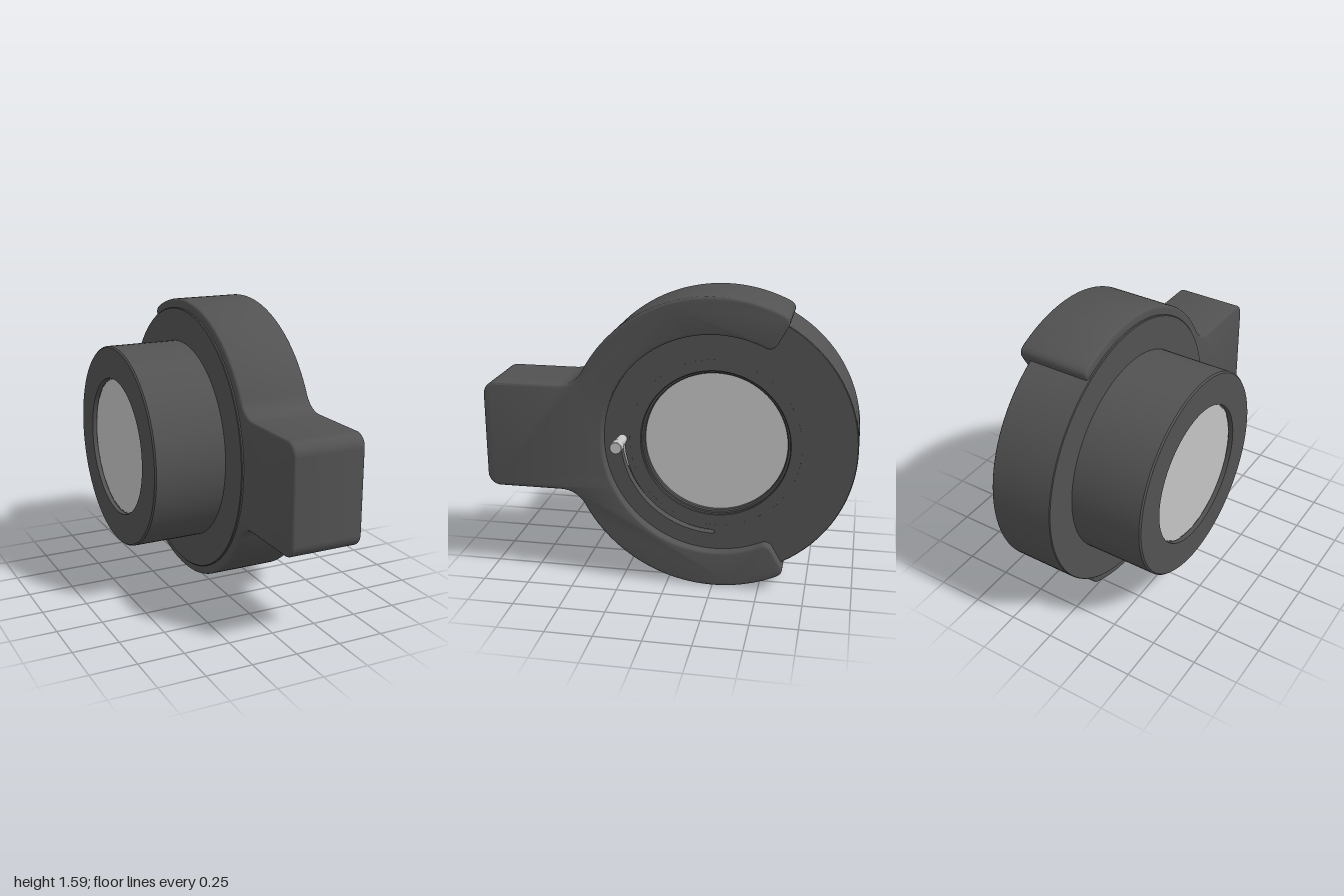
import * as THREE from 'three';
import { toCreasedNormals } from 'three/addons/utils/BufferGeometryUtils.js';

const PI = Math.PI;
const rad = THREE.MathUtils.degToRad;
const polar = (r, a) => [r * Math.cos(a), r * Math.sin(a)];

// Extrude a shape drawn in the (-z, y) plane along +x, from x0 to x1
function extrudeX(shape, x0, x1, bevel = 0, curveSegments = 48) {
  const geo = new THREE.ExtrudeGeometry(shape, {
    depth: x1 - x0 - 2 * bevel, curveSegments,
    bevelEnabled: bevel > 0, bevelSize: bevel, bevelThickness: bevel,
    bevelOffset: -bevel, bevelSegments: 3,
  });
  geo.translate(0, 0, x0 + bevel);
  geo.rotateY(PI / 2);
  return toCreasedNormals(geo, 0.6);
}

// Revolve a profile of [radius, x] points about the x axis
function latheX(profile, segments = 96) {
  const geo = new THREE.LatheGeometry(profile.map(p => new THREE.Vector2(...p)), segments);
  geo.rotateZ(-PI / 2);
  return toCreasedNormals(geo, 0.5);
}

// Closed band between two radii and two angles
function arcBand(PathType, r0, r1, a0, a1) {
  const p = new PathType();
  p.absarc(0, 0, r1, a0, a1, false);
  p.absarc(0, 0, r0, a1, a0, true);
  p.closePath();
  return p;
}

// C-shaped clamp with a filleted rectangular handle
function clampShape() {
  const R = 0.797, r = 0.6, half = 0.295, fillet = 0.15, corner = 0.07, end = 1.25, round = 0.05;
  const a = rad(60.5), dOut = round / R, dIn = round / r;
  const fy = half + fillet, fx = Math.sqrt((R + fillet) ** 2 - fy ** 2);
  const phi = Math.atan2(fy, -fx);
  const s = new THREE.Shape();
  s.absarc(0, 0, R, a + dOut, phi, false);
  s.absarc(-fx, fy, fillet, phi - PI, -PI / 2, true);
  s.absarc(-end + corner, half - corner, corner, PI / 2, PI, false);
  s.absarc(-end + corner, corner - half, corner, PI, 1.5 * PI, false);
  s.absarc(-fx, -fy, fillet, PI / 2, PI - phi, true);
  s.absarc(0, 0, R, 2 * PI - phi, 2 * PI - a - dOut, false);
  s.quadraticCurveTo(...polar(R, -a), ...polar(R - round, -a));
  s.lineTo(...polar(r + round, -a));
  s.quadraticCurveTo(...polar(r, -a), ...polar(r, -a - dIn));
  s.absarc(0, 0, r, 2 * PI - a - dIn, a + dIn, true);
  s.quadraticCurveTo(...polar(r, a), ...polar(r + round, a));
  s.lineTo(...polar(R - round, a));
  s.quadraticCurveTo(...polar(R, a), ...polar(R, a + dOut));
  return s;
}

export function createModel() {
  const model = new THREE.Group();
  model.name = 'irisDiaphragmMount';
  const body = new THREE.MeshStandardMaterial({ color: 0x525252 });
  body.name = 'dark grey';
  const light = new THREE.MeshStandardMaterial({ color: 0xc4c4c4 });
  light.name = 'light grey';

  const add = (name, geo, mat) => {
    const mesh = new THREE.Mesh(geo, mat);
    mesh.name = name;
    mesh.position.set(0, 0.798, -0.25);
    model.add(mesh);
    return mesh;
  };

  // Disc and rear tube, with a shallow channel for the slotted ring
  add('housing', latheX([
    [0.375, -0.435], [0.385, -0.435], [0.385, -0.46], [0.555, -0.46], [0.563, -0.452],
    [0.563, -0.055], [0.744, -0.055], [0.748, -0.051], [0.748, 0.296], [0.744, 0.3],
    [0.54, 0.3], [0.54, 0.25], [0.46, 0.25], [0.46, 0.3],
    [0.402, 0.3], [0.398, 0.296], [0.398, 0.28], [0.388, 0.28], [0.382, 0.272],
    [0.382, 0.25], [0.37, 0.25],
  ]), body);

  // Front ring with the quarter-circle lever slot
  const ring = new THREE.Shape();
  ring.absarc(0, 0, 0.54, 0, 2 * PI, false);
  const bore = new THREE.Path();
  bore.absarc(0, 0, 0.46, 0, 2 * PI, true);
  ring.holes.push(bore, arcBand(THREE.Path, 0.489, 0.511, PI, 1.5 * PI));
  add('slottedRing', extrudeX(ring, 0.25, 0.3, 0, 96), body);

  // Light blades showing at both ends of the slot
  for (const [from, to] of [[180, 199], [253, 270]]) {
    const blade = arcBand(THREE.Shape, 0.489, 0.511, rad(from), rad(to));
    add('slotBlade', extrudeX(blade, 0.25, 0.257), light);
  }

  // Window through the bore
  const glass = new THREE.CylinderGeometry(0.381, 0.381, 0.69, 96);
  glass.rotateZ(-PI / 2);
  glass.translate(-0.09, 0, 0);
  add('window', glass, light);

  // Clamp and handle
  add('clamp', extrudeX(clampShape(), -0.043, 0.355, 0.014), body);

  // Lever pin, flaring to a straight tip
  const pin = add('leverPin', latheX([
    [0, 0.25], [0.023, 0.25], [0.031, 0.405], [0.033, 0.407], [0.033, 0.454], [0.03, 0.457], [0, 0.457],
  ], 24), light);
  pin.position.z = 0.25;

  return model;
}
